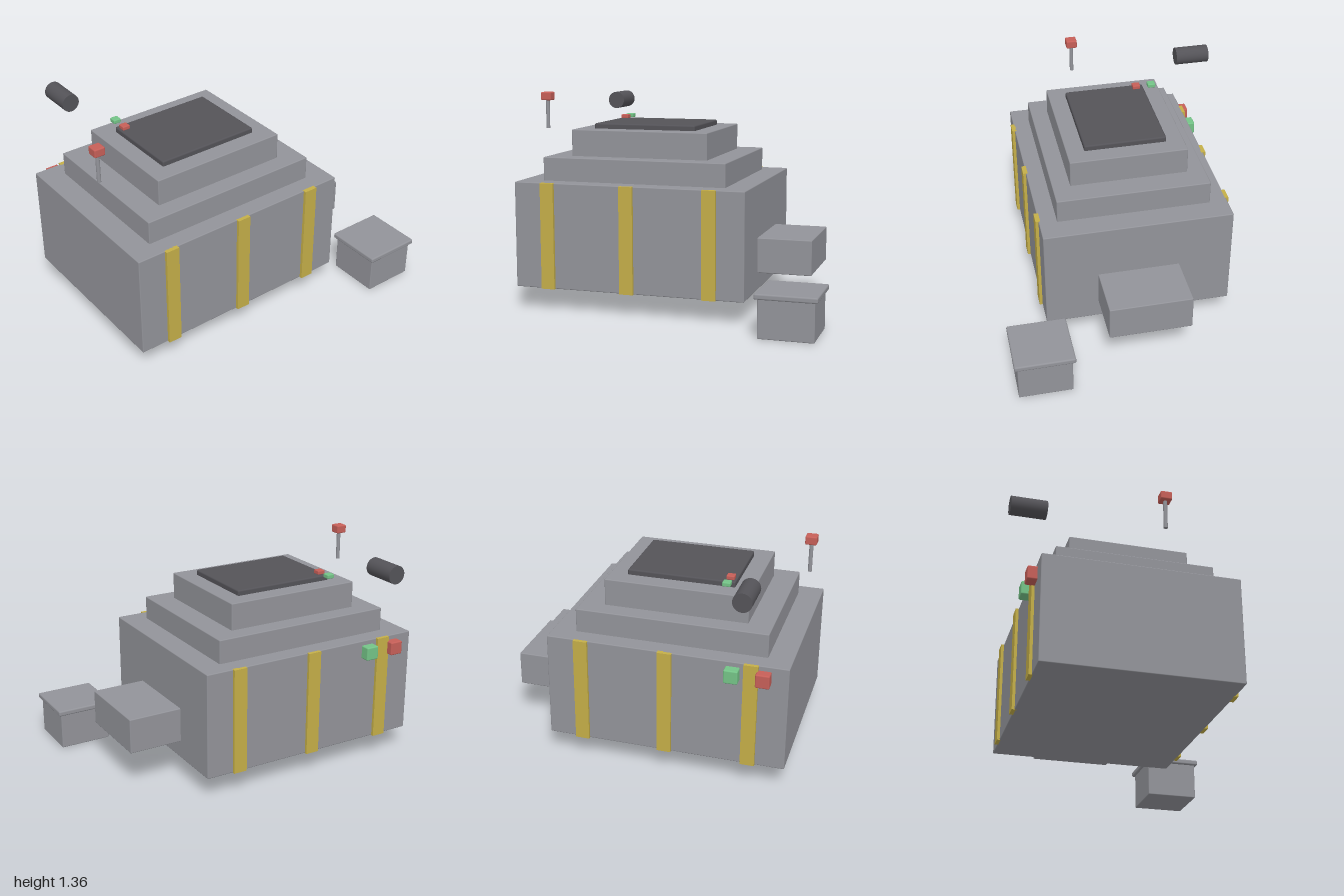
import * as THREE from 'three';
import { RoundedBoxGeometry } from 'three/addons/geometries/RoundedBoxGeometry.js';

const mat = (name, color) => {
  const m = new THREE.MeshStandardMaterial({ color });
  m.name = name;
  return m;
};

export function createModel() {
  const grey = mat('grey', 0x929399);
  const dark = mat('darkGrey', 0x545358);
  const yellow = mat('yellow', 0xc4ae48);
  const red = mat('red', 0xc65f58);
  const green = mat('green', 0x74c387);

  const model = new THREE.Group();
  model.name = 'steppedMachine';

  const add = (name, geometry, material, x, y, z) => {
    const mesh = new THREE.Mesh(geometry, material);
    mesh.name = name;
    mesh.position.set(x, y, z);
    model.add(mesh);
    return mesh;
  };
  // Softly bevelled box standing on height y0
  const box = (name, material, w, h, d, x, y0, z, bevel = 0.006) =>
    add(name, new RoundedBoxGeometry(w, h, d, 2, bevel), material, x, y0 + h / 2, z);

  const cx = -0.25, cz = -0.06; // centre of the stepped body

  // Stepped body and its dark top plate
  box('mainBody', grey, 1.5, 0.676, 1.2, cx, 0.141, cz);
  box('lowerTier', grey, 1.2, 0.16, 0.975, cx, 0.807, cz);
  box('upperTier', grey, 0.9, 0.18, 0.75, cx, 0.957, cz);
  box('topPlate', dark, 0.675, 0.05, 0.525, cx, 1.121, cz, 0.01);

  // Yellow bands on the front and back walls
  for (const x of [-0.775, -0.25, 0.28]) {
    add('frontBand', new THREE.BoxGeometry(0.088, 0.676, 0.03), yellow, x, 0.479, 0.544);
    add('backBand', new THREE.BoxGeometry(0.088, 0.676, 0.03), yellow, x, 0.479, -0.663);
  }

  // Box projecting from the side wall
  box('sideBox', grey, 0.375, 0.224, 0.525, 0.657, 0.254, cz);

  // Separate bin with a lid
  box('bin', grey, 0.3375, 0.262, 0.3375, 0.81, 0, 0.625);
  box('binLid', grey, 0.375, 0.035, 0.375, 0.81, 0.236, 0.625, 0.01);

  // Lever with a red knob
  add('leverPost', new THREE.CylinderGeometry(0.0125, 0.0125, 0.2, 24), grey, -0.964, 1.222, 0.093);
  box('leverKnob', red, 0.072, 0.054, 0.072, -0.964, 1.307, 0.093, 0.008);

  // Floating horizontal cylinder
  add('rearCylinder', new THREE.CylinderGeometry(0.058, 0.058, 0.223, 32), dark, -0.74, 1.271, -0.701)
    .rotation.x = Math.PI / 2;

  // Small buttons by the top plate
  box('redButton', red, 0.051, 0.027, 0.051, -0.55, 1.169, -0.272);
  box('greenButton', green, 0.051, 0.027, 0.051, -0.55, 1.169, -0.376);

  // Lamps on the back wall
  box('redLamp', red, 0.086, 0.086, 0.086, -0.853, 0.701, -0.676, 0.008);
  box('greenLamp', green, 0.086, 0.086, 0.086, -0.664, 0.701, -0.676, 0.008);

  return model;
}
